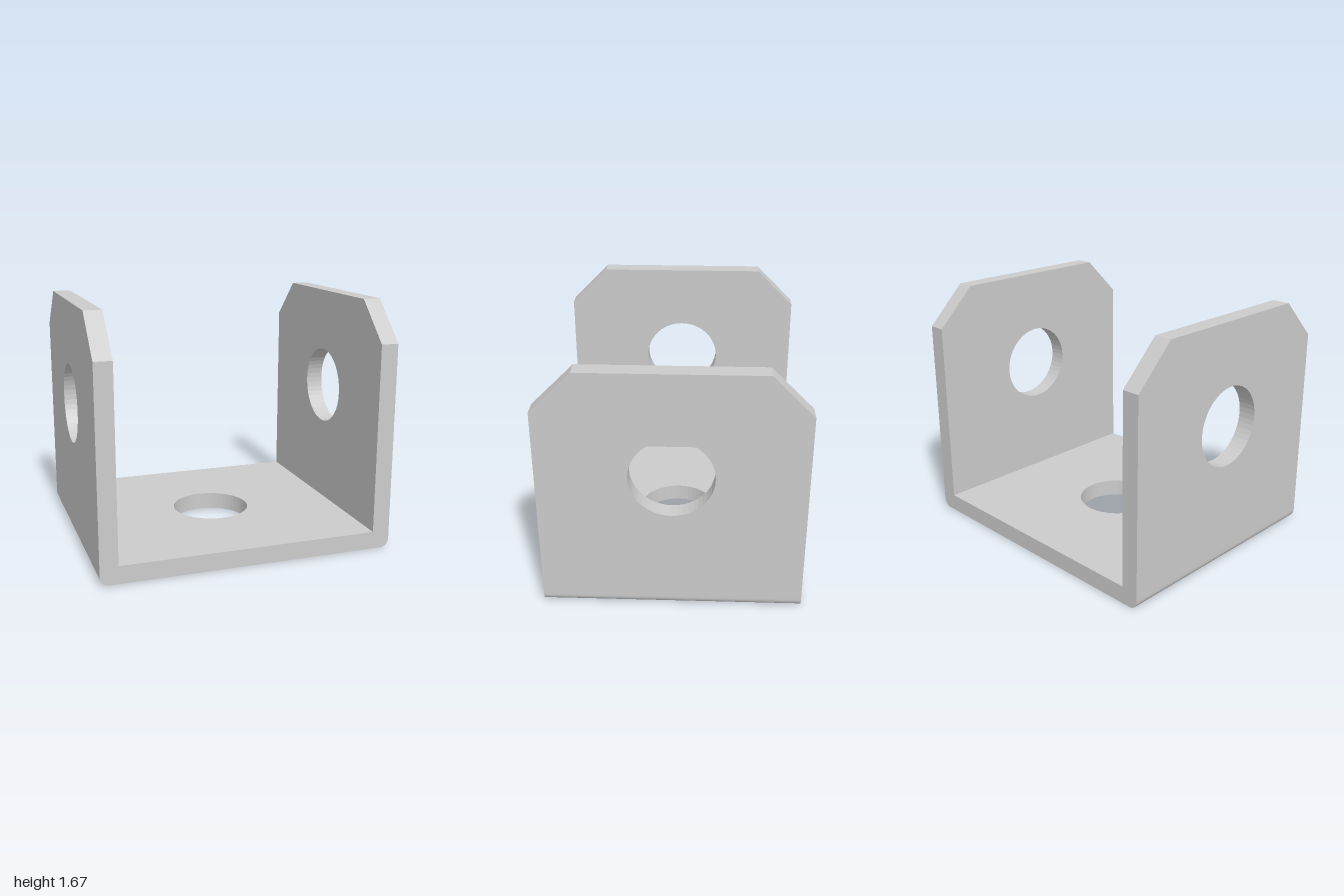
import * as THREE from 'three';
import { toCreasedNormals } from 'three/addons/utils/BufferGeometryUtils.js';

const W = 1, H = 1.67, D = 0.845;   // half width, height, half depth
const T = 0.12, R = 0.06;           // plate thickness, outer bend radius
const HOLE = 0.27, HOLE_Y = 0.97, CHAMFER = 0.265;
const IN = W - T;                   // inner face of a side plate

function polygon(points) {
  return new THREE.Shape(points.map(([x, y]) => new THREE.Vector2(x, y)));
}

function addHole(shape, y) {
  const hole = new THREE.Path();
  hole.absarc(0, y, HOLE, 0, Math.PI * 2, true);
  shape.holes.push(hole);
  return shape;
}

function extrude(shape, depth, curveSegments) {
  return new THREE.ExtrudeGeometry(shape, { depth, curveSegments, bevelEnabled: false });
}

// Removes the triangles whose centre is on a hidden joint between parts
function openJoints(source, isJoint) {
  const p = source.attributes.position;
  const kept = [];
  const tri = new THREE.Triangle(), mid = new THREE.Vector3();
  for (let i = 0; i < p.count; i += 3) {
    tri.setFromAttributeAndIndices(p, i, i + 1, i + 2);
    if (isJoint(tri.getMidpoint(mid))) continue;
    for (const v of [tri.a, tri.b, tri.c]) kept.push(v.x, v.y, v.z);
  }
  const geometry = new THREE.BufferGeometry();
  geometry.setAttribute('position', new THREE.Float32BufferAttribute(kept, 3));
  geometry.computeVertexNormals();
  return geometry;
}

export function createModel() {
  const model = new THREE.Group();
  model.name = 'bracket';
  const material = new THREE.MeshStandardMaterial({ color: 0xcccccc });
  const e = 1e-4;

  function part(parent, name, geometry) {
    const mesh = new THREE.Mesh(geometry, material);
    mesh.name = name;
    parent.add(mesh);
  }

  // Base plate with a round hole
  const baseShape = addHole(polygon([[-IN, -D], [IN, -D], [IN, D], [-IN, D]]), 0);
  const base = extrude(baseShape, T, 24).rotateX(-Math.PI / 2);
  part(model, 'basePlate', openJoints(base, c => Math.abs(c.x) > IN - e));

  // Upright plate with chamfered top corners and a round hole
  const sideShape = addHole(polygon([
    [-D, T], [D, T], [D, H - CHAMFER], [D - CHAMFER, H],
    [-D + CHAMFER, H], [-D, H - CHAMFER],
  ]), HOLE_Y);
  const plate = openJoints(
    extrude(sideShape, T, 24).rotateY(Math.PI / 2).translate(IN, 0, 0),
    c => c.y < T + e);

  // Bend joining base and upright, rounded on the outside only
  const bendShape = new THREE.Shape();
  bendShape.moveTo(IN, 0);
  bendShape.lineTo(W - R, 0);
  bendShape.absarc(W - R, R, R, -Math.PI / 2, 0, false);
  bendShape.lineTo(W, T);
  bendShape.lineTo(IN, T);
  const bend = toCreasedNormals(openJoints(
    extrude(bendShape, 2 * D, 10).translate(0, 0, -D),
    c => c.y > T - e || c.x < IN + e), 0.5);

  // The two sides are the same part turned half round
  for (const [name, turn] of [['leftSide', 0], ['rightSide', Math.PI]]) {
    const side = new THREE.Group();
    side.name = name;
    side.rotation.y = turn;
    part(side, 'sidePlate', plate);
    part(side, 'roundedBend', bend);
    model.add(side);
  }
  return model;
}
